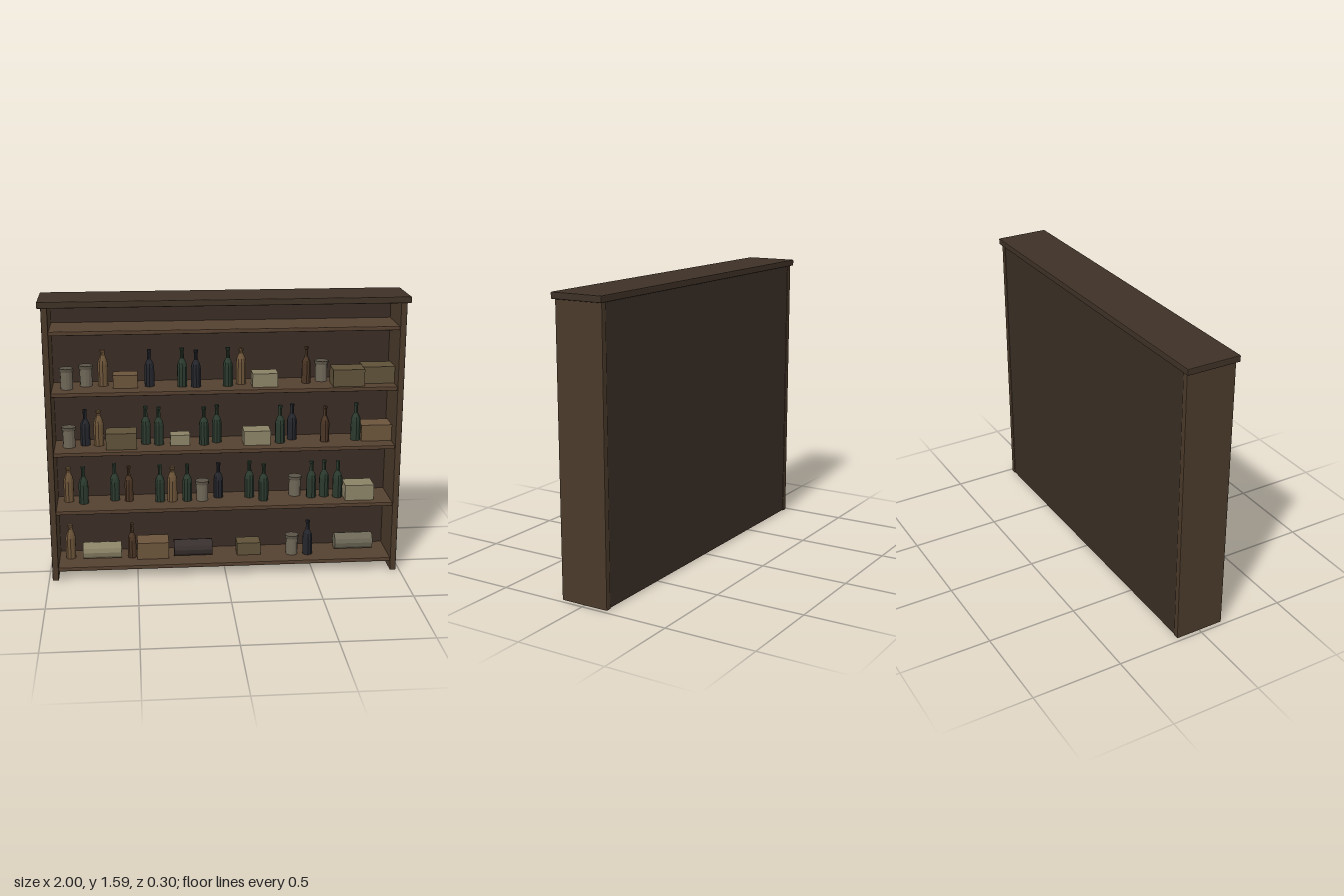
import * as THREE from 'three';
import { RoundedBoxGeometry } from 'three/addons/geometries/RoundedBoxGeometry.js';

const mat = (color) => new THREE.MeshStandardMaterial({ color, flatShading: true });
const M = {
  frame: mat(0x4a3929), shelf: mat(0x54402f), back: mat(0x392d24), top: mat(0x3e3126),
  green: mat(0x2b3a2e), navy: mat(0x24262c), brown: mat(0x4a3524), tan: mat(0x6b5338),
  jar: mat(0x6e6657), lid: mat(0x595246),
  pale: mat(0x8b8266), olive: mat(0x5e5138), wood: mat(0x6b543b), dark: mat(0x38302e), grey: mat(0x6d6857),
};

function add(parent, name, geometry, material, x = 0, y = 0, z = 0) {
  const mesh = new THREE.Mesh(geometry, material);
  mesh.name = name;
  mesh.position.set(x, y, z);
  parent.add(mesh);
  return mesh;
}

// Board given by its lower and upper height, with a slight bevel
function board(parent, name, w, y0, y1, d, material, x = 0, z = 0) {
  add(parent, name, new RoundedBoxGeometry(w, y1 - y0, d, 1, 0.005), material, x, (y0 + y1) / 2, z);
}

// Bottle with a sloping shoulder, thin neck and lip
function bottleGeometry(radius, height, shoulder, neckBase, neck) {
  const pts = [[0, 0], [radius, 0], [radius, shoulder], [radius * 0.84, shoulder + 0.1], [neck, neckBase],
    [neck * 0.9, 0.93], [neck * 1.1, 0.94], [neck * 1.1, 1], [0, 1]];
  return new THREE.LatheGeometry(pts.map(([r, t]) => new THREE.Vector2(r, t * height)), 10);
}

const BOTTLES = {
  green: bottleGeometry(0.028, 0.215, 0.52, 0.73, 0.011),
  navy: bottleGeometry(0.028, 0.205, 0.52, 0.73, 0.011),
  brown: bottleGeometry(0.025, 0.205, 0.52, 0.73, 0.01),
  tan: bottleGeometry(0.029, 0.2, 0.62, 0.86, 0.013),
};

function jar(parent, x, z) {
  const g = new THREE.Group();
  g.name = 'jar';
  g.position.set(x, 0, z);
  add(g, 'jarBody', new THREE.CylinderGeometry(0.034, 0.034, 0.1, 12), M.jar, 0, 0.05, 0);
  add(g, 'jarLid', new THREE.CylinderGeometry(0.039, 0.039, 0.018, 12), M.lid, 0, 0.107, 0);
  parent.add(g);
}

// Boxes share their proportions, so the width sets height and depth
function box(parent, kind, x, z, w) {
  const h = 0.54 * w;
  add(parent, 'box', new THREE.BoxGeometry(w, h, 0.72 * w), M[kind], x, h / 2, z);
}

function roll(parent, kind, x, z) {
  const r = 0.048;
  add(parent, 'roll', new THREE.CylinderGeometry(r, r, 0.22, 12), M[kind], x, r, z).rotation.z = Math.PI / 2;
}

// Places one item of the given kind at each [x, z]
function place(row, kind, spots) {
  for (const [x, z] of spots) {
    if (kind === 'jar') jar(row, x, z);
    else add(row, kind + 'Bottle', BOTTLES[kind], M[kind], x, 0, z);
  }
}

function stockBottom(row) {
  place(row, 'tan', [[-0.88, -0.02]]);
  place(row, 'brown', [[-0.53, 0]]);
  place(row, 'navy', [[0.48, 0.03]]);
  place(row, 'jar', [[0.39, 0.02]]);
  box(row, 'wood', -0.41, -0.02, 0.18);
  box(row, 'olive', 0.14, -0.02, 0.135);
  roll(row, 'pale', -0.7, 0);
  roll(row, 'dark', -0.18, 0);
  roll(row, 'grey', 0.755, -0.03);
}

function stockSecond(row) {
  place(row, 'green', [[-0.795, 0], [-0.62, -0.04], [-0.365, 0], [-0.21, 0], [0.147, -0.03],
    [0.222, 0.03], [0.5, 0], [0.575, -0.01], [0.65, 0.01]]);
  place(row, 'tan', [[-0.88, -0.04], [-0.295, 0]]);
  place(row, 'brown', [[-0.54, -0.02]]);
  place(row, 'navy', [[-0.03, -0.04]]);
  place(row, 'jar', [[-0.125, 0], [0.41, -0.04]]);
  box(row, 'pale', 0.765, 0.025, 0.165);
}

function stockThird(row) {
  place(row, 'green', [[-0.438, -0.02], [-0.366, 0], [-0.115, 0.02], [-0.04, -0.02], [0.313, 0.02], [0.746, 0]]);
  place(row, 'navy', [[-0.775, -0.02], [0.388, -0.04]]);
  place(row, 'tan', [[-0.7, -0.01]]);
  place(row, 'brown', [[0.567, 0.02]]);
  place(row, 'jar', [[-0.864, 0.01]]);
  box(row, 'olive', -0.575, 0.03, 0.17);
  box(row, 'pale', -0.248, 0, 0.11);
  box(row, 'pale', 0.18, 0.015, 0.15);
  box(row, 'wood', 0.858, -0.02, 0.172);
}

function stockFourth(row) {
  place(row, 'green', [[-0.233, 0.02], [0.018, 0.03]]);
  place(row, 'navy', [[-0.412, 0], [-0.158, 0.035]]);
  place(row, 'tan', [[-0.667, -0.03], [0.094, -0.01]]);
  place(row, 'brown', [[0.457, 0]]);
  place(row, 'jar', [[-0.864, 0.03], [-0.76, -0.03], [0.548, -0.04]]);
  box(row, 'wood', -0.545, 0, 0.135);
  box(row, 'pale', 0.22, 0.035, 0.14);
  box(row, 'olive', 0.68, 0.045, 0.175);
  box(row, 'olive', 0.857, -0.01, 0.175);
}

export function createModel() {
  const model = new THREE.Group();
  model.name = 'stockedShelf';

  // Cabinet frame
  board(model, 'topBoard', 2, 1.555, 1.59, 0.3, M.top);
  for (const s of [-1, 1]) {
    board(model, s > 0 ? 'leftSide' : 'rightSide', 0.035, 0, 1.556, 0.28, M.frame, s * 0.9625);
  }
  add(model, 'backPanel', new THREE.BoxGeometry(1.89, 1.55, 0.018), M.back, 0, 0.78, -0.127);

  // Evenly spaced shelves with goods, the uppermost one empty
  [stockBottom, stockSecond, stockThird, stockFourth, null].forEach((stock, i) => {
    const y = 0.075 + i * 0.338;
    board(model, 'shelf', 1.892, y - 0.023, y, 0.25, M.shelf, 0, 0.007);
    if (!stock) return;
    const row = new THREE.Group();
    row.name = 'goodsRow' + (i + 1);
    row.position.y = y;
    stock(row);
    model.add(row);
  });

  return model;
}
